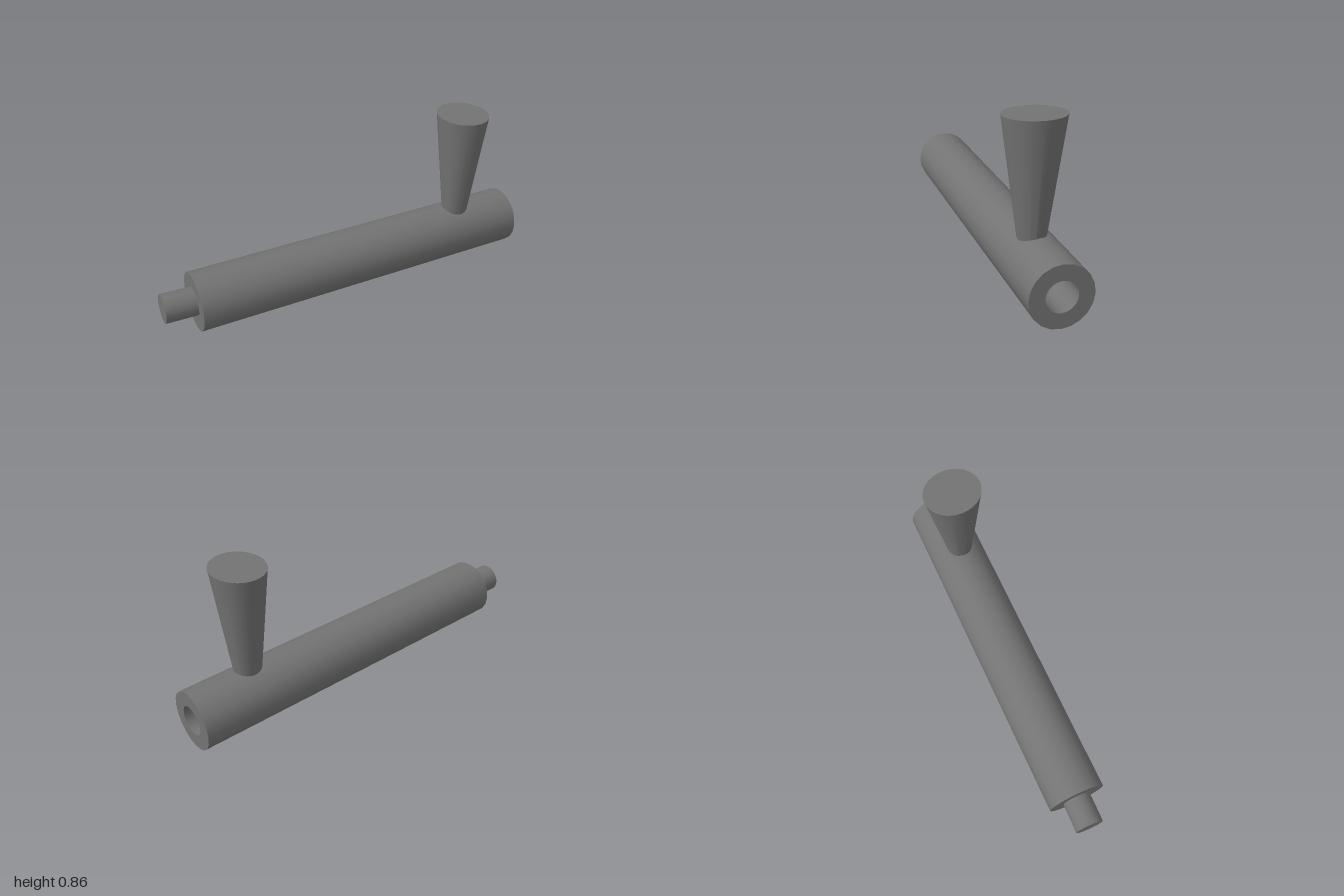
import * as THREE from 'three';
import { toCreasedNormals } from 'three/addons/utils/BufferGeometryUtils.js';

const UP = new THREE.Vector3(0, 1, 0);

export function createModel() {
  const model = new THREE.Group();
  const material = new THREE.MeshStandardMaterial({ color: 0x737373 });

  const add = (name, geometry) => {
    const mesh = new THREE.Mesh(geometry, material);
    mesh.name = name;
    model.add(mesh);
    return mesh;
  };

  // Places a part built along y so that it runs from one point towards another
  const addAlong = (name, geometry, from, to) => {
    const mesh = add(name, geometry);
    mesh.position.copy(from);
    mesh.quaternion.setFromUnitVectors(UP, to.clone().sub(from).normalize());
  };

  // Thick-walled tube, slightly tilted, open bore at the right end
  const start = new THREE.Vector3(-0.842, 0.1745, 0.0135);
  const end = new THREE.Vector3(0.998, 0.1525, -0.0135);
  const length = start.distanceTo(end);
  const outer = 0.151, bore = 0.076;
  const profile = [[bore, 0], [outer, 0], [outer, length], [bore, length], [bore, 0]]
    .map(([r, y]) => new THREE.Vector2(r, y));
  addAlong('tube', toCreasedNormals(new THREE.LatheGeometry(profile, 20), 0.6), start, end);

  // Solid plug seated in the bore, projecting from the other end
  const plugTip = new THREE.Vector3(-0.9995, 0.183, 0.01);
  const plugEnd = new THREE.Vector3(-0.7, 0.1735, 0.0125);
  const plugLength = plugTip.distanceTo(plugEnd);
  const plug = new THREE.CylinderGeometry(0.074, 0.074, plugLength, 24);
  plug.translate(0, plugLength / 2, 0);
  addAlong('plug', plug, plugTip, plugEnd);

  // Tapered handle with a level top, crossing the bore; oval and leaning slightly
  const foot = 0.07, top = 0.858;
  const handle = new THREE.CylinderGeometry(1, 1, top - foot, 32);
  handle.translate(0, (top + foot) / 2, 0);
  const pos = handle.attributes.position;
  const { lerp } = THREE.MathUtils;
  for (let i = 0; i < pos.count; i++) {
    const t = (pos.getY(i) - foot) / (top - foot);
    pos.setX(i, pos.getX(i) * lerp(0.046, 0.129, t) + lerp(0.668, 0.678, t));
    pos.setZ(i, pos.getZ(i) * lerp(0.036, 0.148, t) + lerp(0.004, 0.002, t));
  }
  add('handle', toCreasedNormals(handle, 0.6));

  return model;
}
